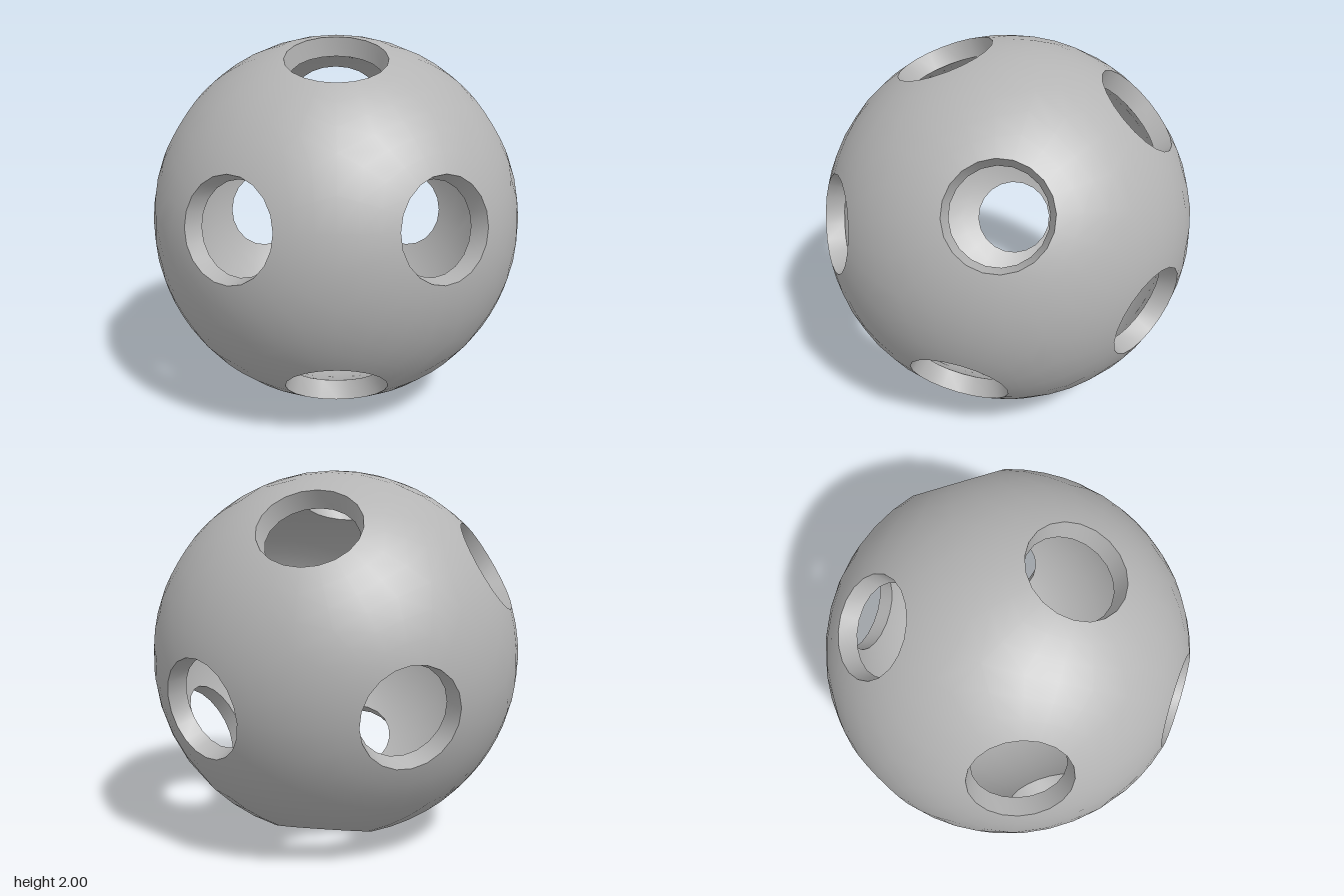
import * as THREE from 'three';

const SEGMENTS = 20;                    // sides of each round hole
const STEPS = 3;                        // bands between a hole and its cell border
const HOLE = Math.asin(0.26);           // angular radius of a hole
const CELL = Math.atan(2) / 2;          // angle from a hole to the middle of its cell's side
const INNER = 0.9;                      // radius of the inside of the shell

// Skin between successive closed rings of points; sphereSide 1 / -1 gives exact sphere normals
function loft(rings, sphereSide = 0) {
  const geometry = new THREE.BufferGeometry().setFromPoints(rings.flat());
  const index = [];
  for (let j = 0; j < rings.length - 1; j++) {
    for (let i = 0; i < SEGMENTS; i++) {
      const a = j * SEGMENTS + i;
      const b = j * SEGMENTS + (i + 1) % SEGMENTS;
      index.push(a, a + SEGMENTS, b + SEGMENTS, a, b + SEGMENTS, b);
    }
  }
  geometry.setIndex(index);
  if (sphereSide) {
    const normals = rings.flat().flatMap((p) => p.clone().normalize().multiplyScalar(sphereSide).toArray());
    geometry.setAttribute('normal', new THREE.Float32BufferAttribute(normals, 3));
  } else {
    geometry.computeVertexNormals();
  }
  return geometry;
}

// Twelve evenly spread hole directions: the corners of an icosahedron
function holeDirections() {
  const g = (1 + Math.sqrt(5)) / 2;
  const list = [];
  for (const s of [-1, 1]) {
    for (const t of [-g, g]) {
      list.push(new THREE.Vector3(s, 0, t), new THREE.Vector3(0, t, s), new THREE.Vector3(t, s, 0));
    }
  }
  return list.map((v) => v.normalize());
}

export function createModel() {
  const model = new THREE.Group();
  model.name = 'perforatedBall';
  const grey = new THREE.MeshStandardMaterial({ color: 0xb4b4b4 });
  grey.name = 'grey';

  const ball = new THREE.Group();
  ball.name = 'ball';
  ball.position.y = 1;
  ball.rotation.set(THREE.MathUtils.degToRad(-11.9), THREE.MathUtils.degToRad(34.1), 0, 'YXZ');
  model.add(ball);

  const directions = holeDirections();
  directions.forEach((axis, n) => {
    // Local axes, with u pointing at one neighbouring hole
    const neighbour = directions.find((d) => Math.abs(d.dot(axis) - 1 / Math.sqrt(5)) < 0.01);
    const u = neighbour.clone().addScaledVector(axis, -neighbour.dot(axis)).normalize();
    const v = axis.clone().cross(u);

    // Rings growing from the round hole to the five-sided cell border
    const ring = (t, radius) => Array.from({ length: SEGMENTS }, (_, i) => {
      const turn = (i / SEGMENTS) * Math.PI * 2;
      const side = Math.PI * 2 / 5;
      const offset = turn - Math.round(turn / side) * side;
      const border = Math.atan(Math.tan(CELL) / Math.cos(offset));
      const angle = THREE.MathUtils.lerp(HOLE, border, t);
      return axis.clone().multiplyScalar(Math.cos(angle))
        .addScaledVector(u, Math.sin(angle) * Math.cos(turn))
        .addScaledVector(v, Math.sin(angle) * Math.sin(turn))
        .multiplyScalar(radius);
    });
    const shell = (radius) => Array.from({ length: STEPS + 1 }, (_, j) => ring(j / STEPS, radius));

    const cell = new THREE.Group();
    cell.name = `cell${n + 1}`;
    const parts = {
      outerShell: loft(shell(1), 1),
      innerShell: loft(shell(INNER).reverse(), -1),
      holeRim: loft([ring(0, INNER), ring(0, 1)]),
    };
    for (const [name, geometry] of Object.entries(parts)) {
      const mesh = new THREE.Mesh(geometry, grey);
      mesh.name = name;
      cell.add(mesh);
    }
    ball.add(cell);
  });
  return model;
}
